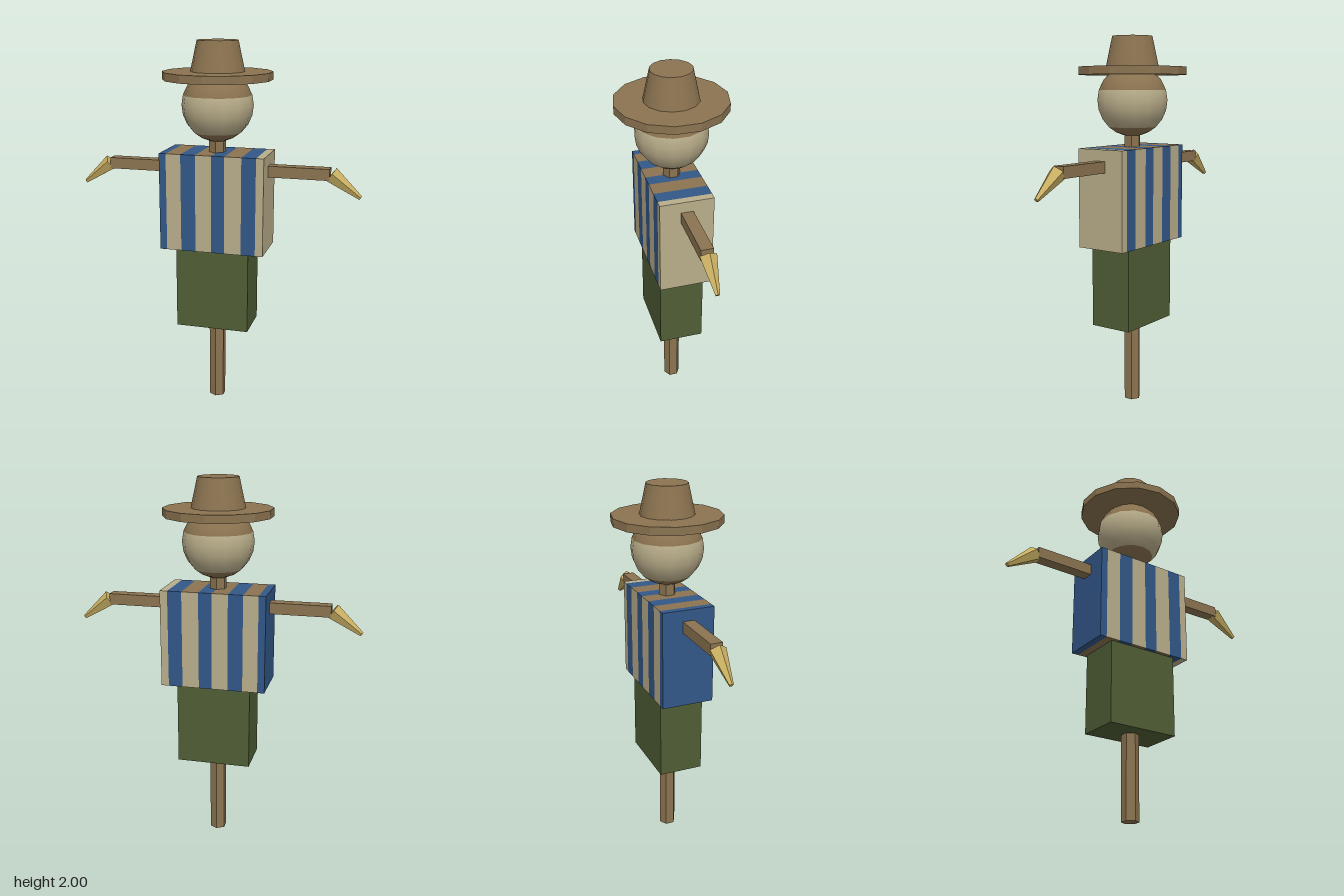
import * as THREE from 'three';

const material = (name, color, extra = {}) => {
  const m = new THREE.MeshStandardMaterial({ color, ...extra });
  m.name = name;
  return m;
};

export function createModel() {
  const wood = material('brown wood', 0x8b7350);
  const cream = material('cream cloth', 0xb9ad8a);
  const blue = material('blue cloth', 0x325788);
  const green = material('green cloth', 0x4f5d35);
  const straw = material('straw', 0xc9af62);
  // faceted shading for the square-cut parts
  for (const m of [cream, blue, green, straw]) m.flatShading = false;

  const model = new THREE.Group();
  model.name = 'scarecrow';
  const add = (name, geometry, mat, x = 0, y = 0, z = 0, parent = model) => {
    const mesh = new THREE.Mesh(geometry, mat);
    mesh.name = name;
    mesh.position.set(x, y, z);
    parent.add(mesh);
    return mesh;
  };
  const faceted = (g) => {
    const flat = g.toNonIndexed();
    flat.computeVertexNormals();
    return flat;
  };

  // Upright post, crossbar and trousers
  add('post', faceted(new THREE.CylinderGeometry(0.046, 0.046, 1.5, 6)), wood, 0, 0.75);
  add('crossbar', new THREE.BoxGeometry(1.21, 0.06, 0.064), wood, 0, 1.331);
  add('trousers', new THREE.BoxGeometry(0.4, 0.47, 0.24), green, 0, 0.685);

  // Striped shirt: each stripe has a front, back, top and bottom panel
  const shirt = new THREE.Group();
  shirt.name = 'shirt';
  model.add(shirt);
  const edges = [-0.283, -0.245, -0.164, -0.084, 0.003, 0.074, 0.165, 0.242, 0.283];
  const bottom = 0.895, top = 1.42, depth = 0.282;
  const midY = (bottom + top) / 2, height = top - bottom;
  for (let i = 0; i < edges.length - 1; i++) {
    const width = edges[i + 1] - edges[i], x = (edges[i] + edges[i + 1]) / 2;
    const side = i % 2 ? cream : blue;
    const cap = i === 7 ? cream : i % 2 ? wood : blue;
    const tall = new THREE.PlaneGeometry(width, height);
    const flat = new THREE.PlaneGeometry(width, depth);
    add('shirtFrontStripe', tall, side, x, midY, depth / 2, shirt);
    add('shirtBackStripe', tall, side, x, midY, -depth / 2, shirt).rotation.y = Math.PI;
    add('shirtTopStripe', flat, cap, x, top, 0, shirt).rotation.x = -Math.PI / 2;
    add('shirtBottomStripe', flat, cap, x, bottom, 0, shirt).rotation.x = Math.PI / 2;
  }
  const end = new THREE.PlaneGeometry(depth, height);
  add('shirtLeftSide', end, cream, 0.283, midY, 0, shirt).rotation.y = Math.PI / 2;
  add('shirtRightSide', end, blue, -0.283, midY, 0, shirt).rotation.y = -Math.PI / 2;

  // Drooping straw hands, a five-sided taper with its ridge on top
  for (const left of [true, false]) {
    const arm = new THREE.Group();
    arm.name = left ? 'leftHand' : 'rightHand';
    arm.rotation.y = left ? 0 : Math.PI;
    model.add(arm);
    const taper = new THREE.CylinderGeometry(0.012, 0.045, 0.193, 5);
    taper.rotateY(-Math.PI / 2).rotateZ(-2.21);
    add('strawHand', faceted(taper), straw, 0.688, 1.271, 0, arm);
  }

  // Round head in three bands: hair, face and chin
  const head = new THREE.Group();
  head.name = 'head';
  head.position.y = 1.665;
  head.rotation.y = Math.PI / 2;
  model.add(head);
  const bands = [['hair', 0, 1.277, 4, wood], ['face', 1.277, 2.4, 4, cream], ['chin', 2.4, Math.PI, 3, wood]];
  for (const [name, from, to, rows, mat] of bands) {
    add(name, new THREE.SphereGeometry(0.19, 14, rows, 0, Math.PI * 2, from, to - from), mat, 0, 0, 0, head);
  }

  // Hat
  add('hatBrim', faceted(new THREE.CylinderGeometry(0.29, 0.29, 0.042, 14)), wood, 0, 1.82);
  add('hatCrown', new THREE.CylinderGeometry(0.108, 0.143, 0.16, 14), wood, 0, 1.92);

  return model;
}
